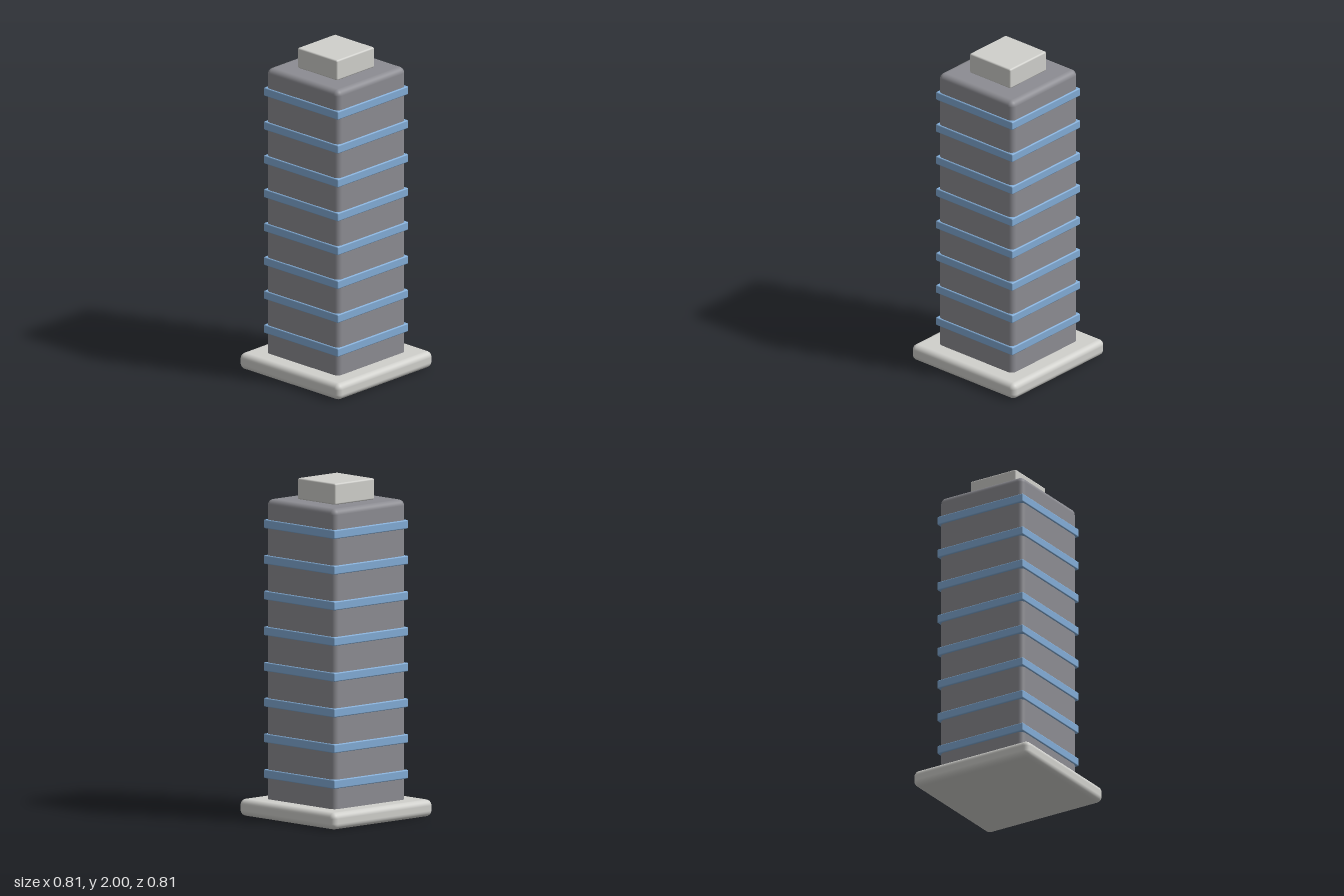
import * as THREE from 'three';
import { RoundedBoxGeometry } from 'three/addons/geometries/RoundedBoxGeometry.js';

const material = (name, color) => {
  const m = new THREE.MeshStandardMaterial({ color });
  m.name = name;
  return m;
};

export function createModel() {
  const concrete = material('pale concrete', 0xd0d0cc);
  const facade = material('grey facade', 0x8c8c92);
  const glass = material('blue glass', 0x82acd6);

  const group = new THREE.Group();
  group.name = 'officeTower';

  // Square rounded slab spanning the heights y0 to y1
  const slab = (name, width, y0, y1, radius, mat) => {
    const geometry = new RoundedBoxGeometry(width, y1 - y0, width, 4, radius);
    const mesh = new THREE.Mesh(geometry, mat);
    mesh.name = name;
    mesh.position.y = (y0 + y1) / 2;
    group.add(mesh);
  };

  // Plinth, main shaft (its foot sunk into the plinth) and rooftop block
  slab('plinth', 0.81, 0, 0.1, 0.035, concrete);
  slab('shaft', 0.584, 0.03, 1.875, 0.035, facade);
  slab('roofBlock', 0.32, 1.874, 2, 0.01, concrete);

  // Window bands wrapping the shaft
  for (let i = 0; i < 8; i++) {
    const y = 0.249 + i * 0.2113;
    slab(`windowBand${i + 1}`, 0.6, y - 0.026, y + 0.026, 0.007, glass);
  }

  return group;
}
